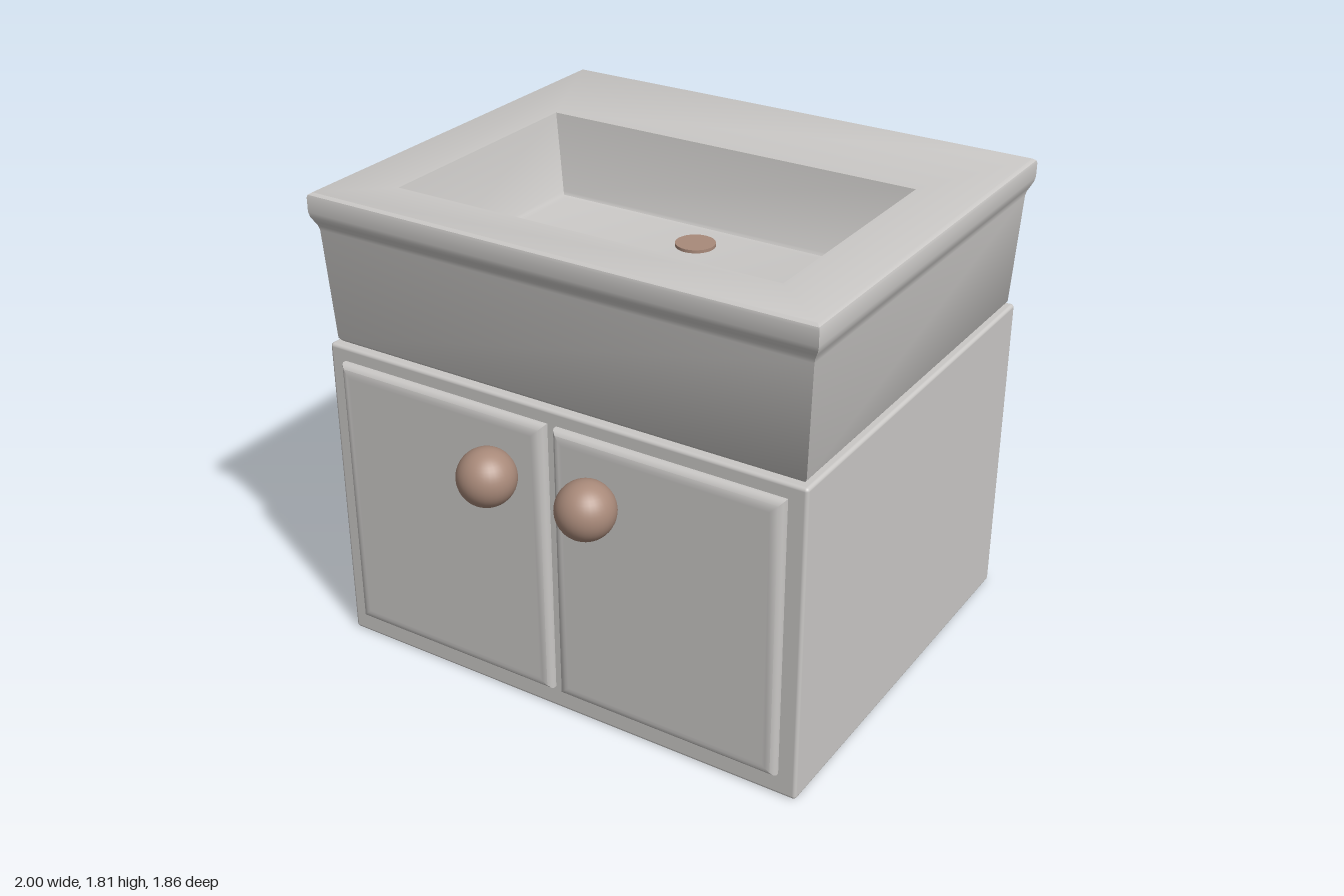
import * as THREE from 'three';
import { toCreasedNormals } from 'three/addons/utils/BufferGeometryUtils.js';
import { RoundedBoxGeometry } from 'three/addons/geometries/RoundedBoxGeometry.js';

// Skins a stack of rectangles [halfWidth, zBack, zFront, y], capped at both ends.
function loftRectangles(loops) {
  const positions = [];
  const index = [];
  for (const [w, z0, z1, y] of loops) {
    positions.push(-w, y, z1, w, y, z1, w, y, z0, -w, y, z0);
  }
  for (let i = 0; i < loops.length - 1; i++) {
    for (let k = 0; k < 4; k++) {
      const a = i * 4 + k;
      const b = i * 4 + ((k + 1) % 4);
      index.push(a, b, b + 4, a, b + 4, a + 4);
    }
  }
  const t = (loops.length - 1) * 4;
  index.push(0, 2, 1, 0, 3, 2, t, t + 1, t + 2, t, t + 2, t + 3);
  const geometry = new THREE.BufferGeometry();
  geometry.setAttribute('position', new THREE.Float32BufferAttribute(positions, 3));
  geometry.setIndex(index);
  return toCreasedNormals(geometry, 0.65);
}

export function createModel() {
  const group = new THREE.Group();
  const ceramic = new THREE.MeshStandardMaterial({ color: 0xcac8c6 });
  ceramic.name = 'light grey';
  const copper = new THREE.MeshStandardMaterial({ color: 0xa98a7a });
  copper.name = 'dull copper';

  const add = (name, geometry, material, x = 0, y = 0, z = 0) => {
    const mesh = new THREE.Mesh(geometry, material);
    mesh.name = name;
    mesh.position.set(x, y, z);
    group.add(mesh);
    return mesh;
  };

  // Cabinet body
  add('cabinet', new RoundedBoxGeometry(1.95, 1.23, 1.63, 3, 0.013), ceramic, 0, 0.615, -0.095);

  // Sink: tapered outside with a flared lip, then down into the basin
  const outside = [
    [0.945, 1.232], [0.955, 1.245], [0.975, 1.665], [0.979, 1.682], [0.988, 1.7],
    [0.996, 1.717], [1, 1.735], [1, 1.788], [0.997, 1.798], [0.985, 1.806],
  ].map(([w, y]) => [w, -0.095 - (w - 0.165), -0.095 + (w - 0.165), y]);
  const basin = [
    [0.762, -0.412, 0.532, 1.806],
    [0.698, -0.358, 0.478, 1.515],
    [0.69, -0.35, 0.47, 1.504],
    [0.675, -0.335, 0.455, 1.5],
  ];
  add('sink', loftRectangles([...outside, ...basin]), ceramic);

  // Drain cover
  add('drain', new THREE.CylinderGeometry(0.075, 0.075, 0.02, 32), copper, 0, 1.502, -0.2);

  // Doors with softened front edges, and round knobs
  const doorGeometry = loftRectangles(
    [[0, 0], [0, 0.016], [0.004, 0.025], [0.016, 0.035], [0.032, 0.04], [0.045, 0.04]].map(
      ([inset, h]) => [0.444 - inset, -0.543 + inset, 0.543 - inset, h]
    )
  );
  const knobGeometry = new THREE.SphereGeometry(0.107, 32, 24);
  for (const [side, s] of [['left', 1], ['right', -1]]) {
    const door = add(side + 'Door', doorGeometry, ceramic, s * 0.462, 0.633, 0.718);
    door.rotation.x = Math.PI / 2;
    add(side + 'Knob', knobGeometry, copper, s * 0.205, 0.963, 0.825);
  }
  return group;
}
